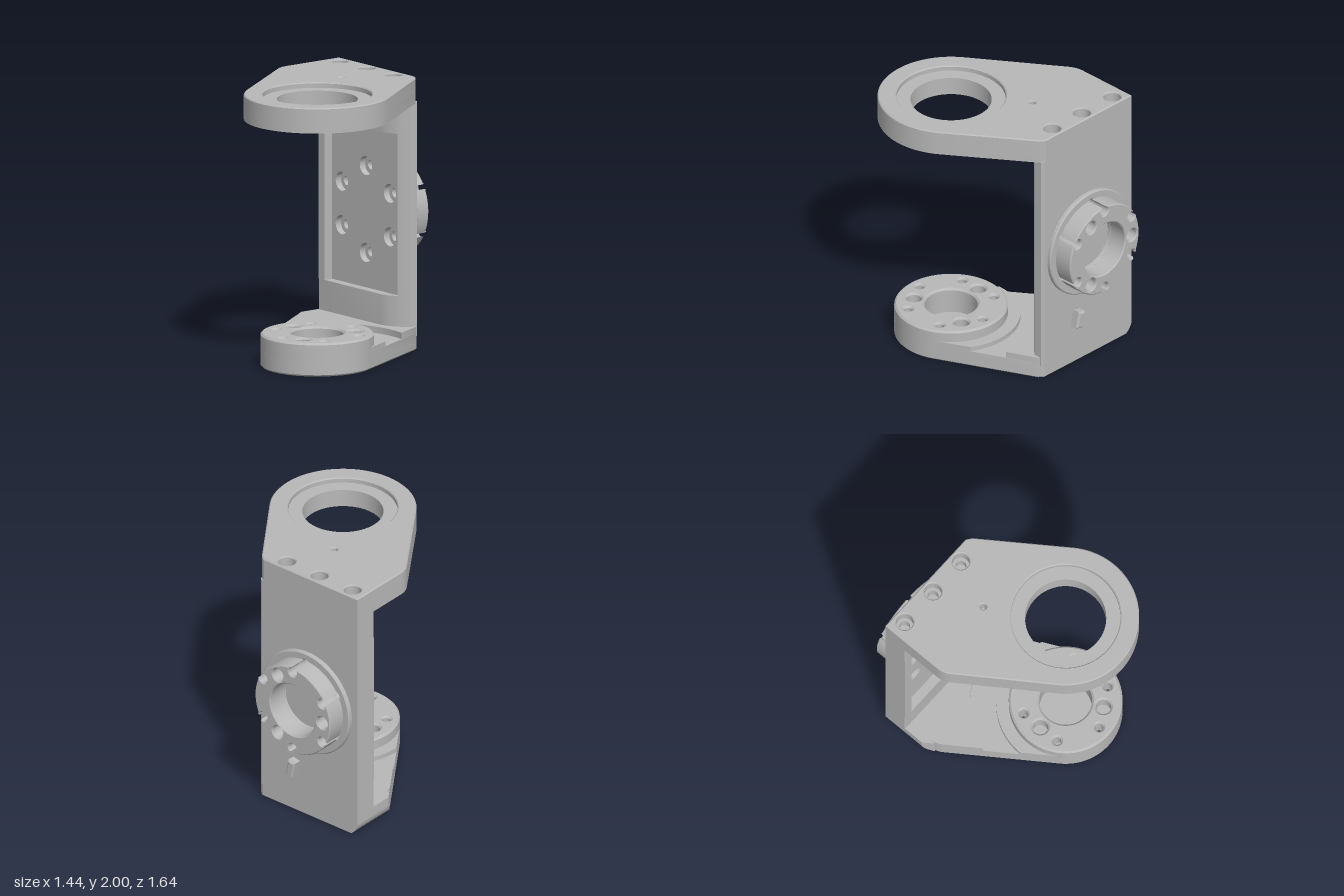
import * as THREE from 'three';
import { toCreasedNormals } from 'three/addons/utils/BufferGeometryUtils.js';

const metal = new THREE.MeshStandardMaterial({ color: 0xb8b8b8 });
metal.name = 'grey metal';

// Pivot of both arms (plan coordinates: x, -z) and bolt circle centre on the wall (x, y)
const C = [0.19, -0.29], B = [-0.262, 0.972];
const rad = Math.PI / 180;

function add(group, name, geo) {
  const mesh = new THREE.Mesh(toCreasedNormals(geo, 0.5), metal);
  mesh.name = name;
  group.add(mesh);
  return mesh;
}

// Extrude along z from a to b, with an optional chamfer inside the outline
function solid(shape, a, b, bevel = 0) {
  const geo = new THREE.ExtrudeGeometry(shape, {
    depth: b - a - 2 * bevel, curveSegments: 32, bevelEnabled: bevel > 0,
    bevelThickness: bevel, bevelSize: bevel, bevelOffset: -bevel, bevelSegments: 1,
  });
  return geo.translate(0, 0, a + bevel);
}
// Same, but standing upright along y
const upright = (shape, a, b, bevel) => solid(shape, a, b, bevel).rotateX(-Math.PI / 2);

const poly = pts => new THREE.Shape(pts.map(p => new THREE.Vector2(...p)));
const rect = (x0, y0, x1, y1) => poly([[x0, y0], [x1, y0], [x1, y1], [x0, y1]]);
const disc = (c, r) => new THREE.Shape().absarc(c[0], c[1], r, 0, Math.PI * 2, false);
function cut(shape, centres, r) {
  for (const c of centres) shape.holes.push(new THREE.Path().absarc(c[0], c[1], r, 0, Math.PI * 2, true));
  return shape;
}
const polar = (c, r, t) => [c[0] + r * Math.cos(t), c[1] + r * Math.sin(t)];
const ring = (c, r, n, start) => Array.from({ length: n }, (_, i) => polar(c, r, (start + i * 360 / n) * rad));

// Angles at which the arm's straight sides touch a nose of radius r
function tangents(r, left, right) {
  const angle = (p, side) => Math.atan2(p[1] - C[1], p[0] - C[0])
    + side * Math.acos(r / Math.hypot(p[0] - C[0], p[1] - C[1]));
  return [angle(left, 1), angle(right, -1)];
}

// Arm plan: straight back edge running tangentially into a round nose.
// With a gutter radius the nose is cut away by a concave arc instead.
function armPlan(r, left, rightX, gutter) {
  const [tl, tr] = tangents(r, left, [rightX, 0.64]);
  const s = new THREE.Shape();
  s.moveTo(left[0], 0.64);
  s.lineTo(left[0], left[1] + 0.06);
  s.quadraticCurveTo(left[0], left[1], left[0] + 0.035, left[1] - 0.05);
  if (gutter) {
    const d = Math.acos(r / gutter);
    s.absarc(C[0], C[1], gutter, tl - d, tr + d, true);
  } else {
    s.absarc(C[0], C[1], r, tl, tr + Math.PI * 2, false);
  }
  s.lineTo(rightX + 0.02, 0.61);
  s.lineTo(rightX - 0.02, 0.64);
  return s;
}

// Round coupling with edge notches where the screws pass
function notchedDisc(c, R, boltR, r) {
  const s = new THREE.Shape();
  const d = Math.acos((R * R + boltR * boltR - r * r) / (2 * R * boltR));
  const q = Math.atan2(R * Math.sin(d), R * Math.cos(d) - boltR);
  for (let k = 0; k < 6; k++) {
    const t = (30 + 60 * k) * rad;
    s.absarc(c[0], c[1], R, t - 60 * rad + d, t - d, false);
    s.absarc(...polar(c, boltR, t), r, t - q, t + q, true);
  }
  // Drop the doubled points where arcs meet
  const pts = s.getPoints(16);
  return new THREE.Shape(pts.filter((p, i) => p.distanceTo(pts[(i + 1) % pts.length]) > 1e-4));
}

export function createModel() {
  const model = new THREE.Group();
  model.name = 'bracket';
  const edgeScrews = [[-0.605, 0.555], [-0.295, 0.555], [0.01, 0.555]];

  // Upper arm: chamfered top layer, bore shoulder, pocketed underside with a shallow round recess
  const upper = new THREE.Group();
  upper.name = 'upperArm';
  model.add(upper);
  const topPlan = () => armPlan(0.53, [-0.72, 0.09], 0.18);
  const pin = [[-0.145, 0.205]];
  let s = cut(cut(cut(topPlan(), [C], 0.395), edgeScrews, 0.063), pin, 0.023);
  add(upper, 'upperArmTop', upright(s, 1.925, 2, 0.008));
  s = cut(cut(cut(topPlan(), [C], 0.293), edgeScrews, 0.063), pin, 0.023);
  add(upper, 'upperArmCore', upright(s, 1.9, 1.96));
  for (const [name, r, a, b] of [['upperArmUnderside', 0.293, 1.824, 1.9], ['undersideRim', 0.48, 1.814, 1.824]]) {
    s = cut(cut(topPlan(), [C], r), edgeScrews, 0.04);
    s.holes.push(
      poly([[-0.05, 0.4], [0.26, 0.4], [0.38, 0.21], [0.1, 0.22], [-0.03, 0.2]]),
      poly([[-0.65, 0.4], [-0.25, 0.4], [-0.25, 0.15], [-0.31, -0.08], [-0.4, -0.18], [-0.65, 0.15]]),
    );
    add(upper, name, upright(s, a, b));
  }

  // Wall: drilled back slab, frame around the front recess, rounded edge
  const wall = new THREE.Group();
  wall.name = 'wall';
  model.add(wall);
  const bolts = ring(B, 0.32, 6, 30);
  const slab = r => cut(rect(-0.72, 0.1, 0.125, 1.82), bolts, r);
  add(wall, 'wallBack', solid(slab(0.037), -0.64, -0.57));
  add(wall, 'wallRecessFloor', solid(slab(0.07), -0.57, -0.52));
  s = poly([[0.125, 0.64], [0.125, 0.5], [0.165, 0.527], [0.197, 0.56], [0.197, 0.625], [0.18, 0.64]]);
  add(wall, 'wallEdge', upright(s, 0.1, 1.82));
  for (const [name, a, b] of [['frameTop', 1.59, 1.82], ['frameBottom', 0.1, 0.397]]) {
    s = poly([[-0.72, 0.52], [-0.72, 0.455], [-0.715, 0.45], [0, 0.45], [0.065, 0.468], [0.125, 0.5], [0.125, 0.52]]);
    add(wall, name, upright(s, a, b));
  }
  add(wall, 'frameSide', solid(rect(-0.72, 0.397, -0.65, 1.59), -0.52, -0.45));

  // Rear coupling on the wall
  const rear = new THREE.Group();
  rear.name = 'rearCoupling';
  model.add(rear);
  s = cut(cut(disc(B, 0.41), [B], 0.21), bolts, 0.037);
  add(rear, 'rearFlange', solid(s, -0.675, -0.635, 0.008));
  s = cut(cut(notchedDisc(B, 0.353, 0.32, 0.037), [B], 0.21), ring(B, 0.277, 3, 60), 0.05);
  add(rear, 'rearHub', solid(s, -0.82, -0.665, 0.008));
  const key = add(rear, 'locatingPin', solid(rect(-0.032, -0.065, 0.032, 0.065), -0.705, -0.63, 0.012));
  key.position.set(-0.14, 0.377, 0);
  key.rotation.z = 0.2;

  // Lower arm: base layer, blind bore layer, raised step behind the gutter
  const lower = new THREE.Group();
  lower.name = 'lowerArm';
  model.add(lower);
  const left = [-0.665, 0.212], rightX = 0.19;
  const discBolts = ring(C, 0.32, 6, 30);
  const basePlan = () => cut(cut(armPlan(0.41, left, rightX), discBolts, 0.055), edgeScrews, 0.05);
  add(lower, 'lowerArmBase', upright(basePlan(), 0, 0.05, 0.012));
  add(lower, 'lowerArmCore', upright(cut(basePlan(), [C], 0.19), 0.03, 0.125));
  add(lower, 'lowerArmStep', upright(armPlan(0.41, left, rightX, 0.69), 0.125, 0.172));

  // Collar between the gutter and the disc, ending flush with the arm's sides
  const [tl, tr] = tangents(0.41, left, [rightX, 0.64]);
  const open = Math.acos(0.41 / 0.5);
  s = new THREE.Shape();
  s.absarc(C[0], C[1], 0.5, tr + open, tl - open, false);
  s.lineTo(...polar(C, 0.41, tl));
  s.lineTo(...polar(C, 0.3, tl));
  s.absarc(C[0], C[1], 0.38, tl, tr, true);
  s.lineTo(...polar(C, 0.41, tr));
  add(lower, 'lowerArmCollar', upright(s, 0.125, 0.16));

  // Rounded side of the lower arm, its front end sheared along the arm's slant
  s = new THREE.Shape();
  s.moveTo(-0.665, 0.172);
  s.lineTo(-0.72, 0.172);
  s.absarc(-0.61, 0.11, 0.11, Math.PI, Math.PI * 1.333, false);
  const side = solid(s, 0, 1);
  const p = side.attributes.position;
  for (let i = 0; i < p.count; i++) {
    p.setZ(i, p.getZ(i) < 0.5 ? -0.64 : -0.29 + (p.getX(i) + 0.72) * 1.42);
  }
  add(lower, 'lowerArmRoundedSide', side);

  // Lower coupling disc
  s = cut(cut(cut(disc(C, 0.41), [C], 0.19), discBolts, 0.03), ring(C, 0.277, 3, 60), 0.055);
  add(lower, 'lowerDisc', upright(s, 0.111, 0.245, 0.014));

  return model;
}
